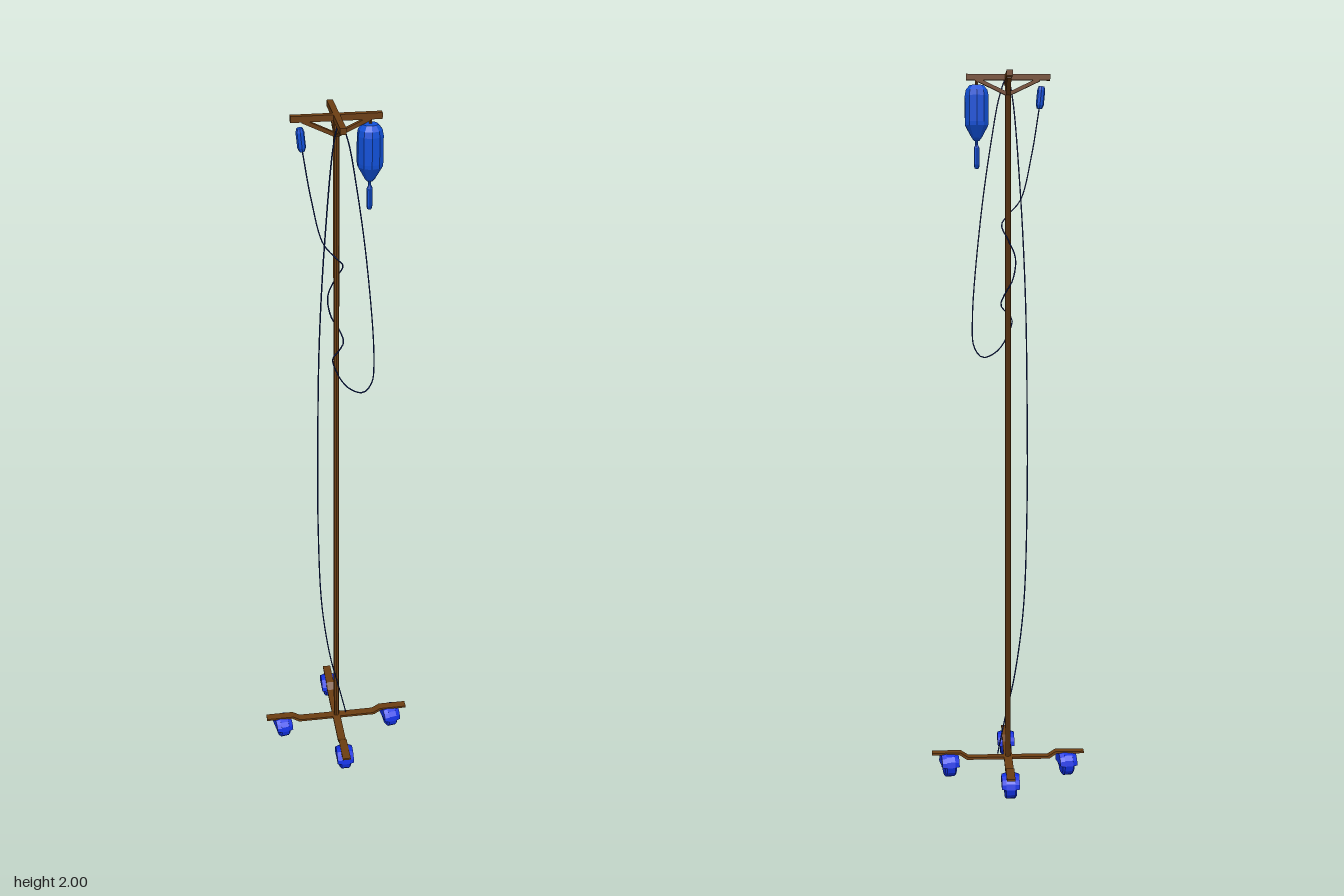
import * as THREE from 'three';

const mat = (color, flat = true) => new THREE.MeshStandardMaterial({ color, flatShading: flat, side: THREE.DoubleSide });
const BROWN = mat(0x6b3d12);
const BLUE = mat(0x1150d8);
const WHEEL_BLUE = mat(0x1230e0);
const HOSE = mat(0x0c2470, false);

function add(parent, name, geometry, material, x = 0, y = 0, z = 0) {
  const mesh = new THREE.Mesh(geometry, material);
  mesh.name = name;
  mesh.position.set(x, y, z);
  parent.add(mesh);
  return mesh;
}

const lathe = (pts, sides) => new THREE.LatheGeometry(pts.map(p => new THREE.Vector2(...p)), sides);

// Flat strip leg, stepping up towards its end
function legGeometry() {
  const shape = new THREE.Shape([[0, 0.052], [0.12, 0.052], [0.142, 0.067], [0.221, 0.067],
    [0.221, 0.073], [0.138, 0.073], [0.116, 0.059], [0, 0.059]].map(p => new THREE.Vector2(...p)));
  return new THREE.ExtrudeGeometry(shape, { depth: 0.024, bevelEnabled: false }).translate(0, 0, -0.012);
}

// Wheel with a wider hood over its upper half, axle along x
function createCaster(x, z, turn) {
  const caster = new THREE.Group();
  caster.name = 'caster';
  caster.position.set(x, 0.036, z);
  caster.rotation.y = turn;
  const wheel = lathe([[0, -0.017], [0.03, -0.017], [0.036, -0.012], [0.036, 0.012], [0.03, 0.017], [0, 0.017]], 14);
  add(caster, 'wheel', wheel.rotateZ(Math.PI / 2), WHEEL_BLUE);
  for (const s of [-1, 1]) {
    const hood = new THREE.CylinderGeometry(s > 0 ? 0.032 : 0.036, s > 0 ? 0.036 : 0.032, 0.013, 8, 1, false, 0, Math.PI);
    add(caster, 'wheelHood', hood.rotateZ(Math.PI / 2), WHEEL_BLUE, -s * 0.0185, 0, 0);
  }
  add(caster, 'axle', new THREE.CylinderGeometry(0.008, 0.008, 0.046, 8).rotateZ(Math.PI / 2), WHEEL_BLUE);
  return caster;
}

export function createModel() {
  const model = new THREE.Group();
  model.name = 'dripStand';

  // Pole
  add(model, 'pole', new THREE.CylinderGeometry(0.008, 0.008, 1.93, 8), BROWN, 0, 1.017, 0);

  // Four legs and their casters
  const leg = legGeometry();
  for (let i = 0; i < 4; i++) add(model, 'leg', leg, BROWN).rotation.y = i * Math.PI / 2;
  for (const s of [-1, 1]) {
    model.add(createCaster(s * 0.171, 0, 0.17));
    model.add(createCaster(0, s * 0.171, 0));
  }

  // Crossed hanger bars with slanting braces below
  add(model, 'hangerBar', new THREE.BoxGeometry(0.23, 0.016, 0.016), BROWN, 0, 1.99, 0);
  add(model, 'hangerBar', new THREE.BoxGeometry(0.016, 0.016, 0.23), BROWN, 0, 1.99, 0);
  const slope = Math.atan2(0.04, 0.085);
  for (let i = 0; i < 4; i++) {
    const arm = new THREE.Group();
    arm.name = 'braceArm';
    arm.rotation.y = i * Math.PI / 2;
    add(arm, 'brace', new THREE.BoxGeometry(0.094, 0.01, 0.012), BROWN, 0.0425, 1.964, 0).rotation.z = slope;
    model.add(arm);
  }

  // Fluid bag with drip chamber
  add(model, 'fluidBag', lathe([[0, 1.817], [0.008, 1.82], [0.014, 1.827], [0.033, 1.86], [0.034, 1.87],
    [0.034, 1.94], [0.031, 1.955], [0.02, 1.968], [0, 1.97]], 10), BLUE, 0.086, 0, -0.002);
  add(model, 'bagHook', new THREE.CylinderGeometry(0.004, 0.004, 0.03, 6), BROWN, 0.086, 1.975, -0.002);
  add(model, 'dripChamber', lathe([[0, 1.743], [0.006, 1.745], [0.008, 1.755], [0.008, 1.8], [0.004, 1.808],
    [0.004, 1.825]], 8), BLUE, 0.086, 0, -0.002);

  // Small hose fitting hanging from the other end
  const fitting = lathe([[0, -0.031], [0.007, -0.03], [0.011, -0.02], [0.011, 0.02], [0.008, 0.03], [0, 0.031]], 8);
  add(model, 'hoseFitting', fitting, BLUE, -0.089, 1.936, 0).rotation.z = 0.1;

  // One long hose: round the pole, into a loop, over the front arm and down to the base
  const path = [
    [-0.086, 1.91, 0], [-0.065, 1.78, 0.006], [-0.035, 1.66, 0.012], [0.003, 1.615, 0.016], [0.018, 1.59, 0],
    [0, 1.55, -0.015], [-0.02, 1.5, -0.018], [-0.012, 1.44, -0.019], [0.01, 1.4, -0.013], [0.02, 1.37, 0],
    [0.002, 1.347, 0.014], [-0.012, 1.33, 0.014], [0, 1.285, 0.018], [0.03, 1.24, 0.02], [0.07, 1.222, 0.021],
    [0.094, 1.25, 0.022], [0.099, 1.33, 0.025], [0.076, 1.6, 0.036], [0.045, 1.82, 0.047], [0.02, 1.95, 0.055],
    [0, 1.998, 0.058], [-0.013, 1.95, 0.056], [-0.035, 1.7, 0.045], [-0.05, 1.4, 0.032], [-0.055, 1.1, 0.022],
    [-0.055, 0.8, 0.013], [-0.045, 0.5, 0.009], [-0.02, 0.3, 0.011], [0.008, 0.17, 0.011], [0.03, 0.065, 0.002],
  ];
  const curve = new THREE.CatmullRomCurve3(path.map(p => new THREE.Vector3(...p)));
  add(model, 'hose', new THREE.TubeGeometry(curve, 260, 0.0019, 6), HOSE);

  return model;
}
